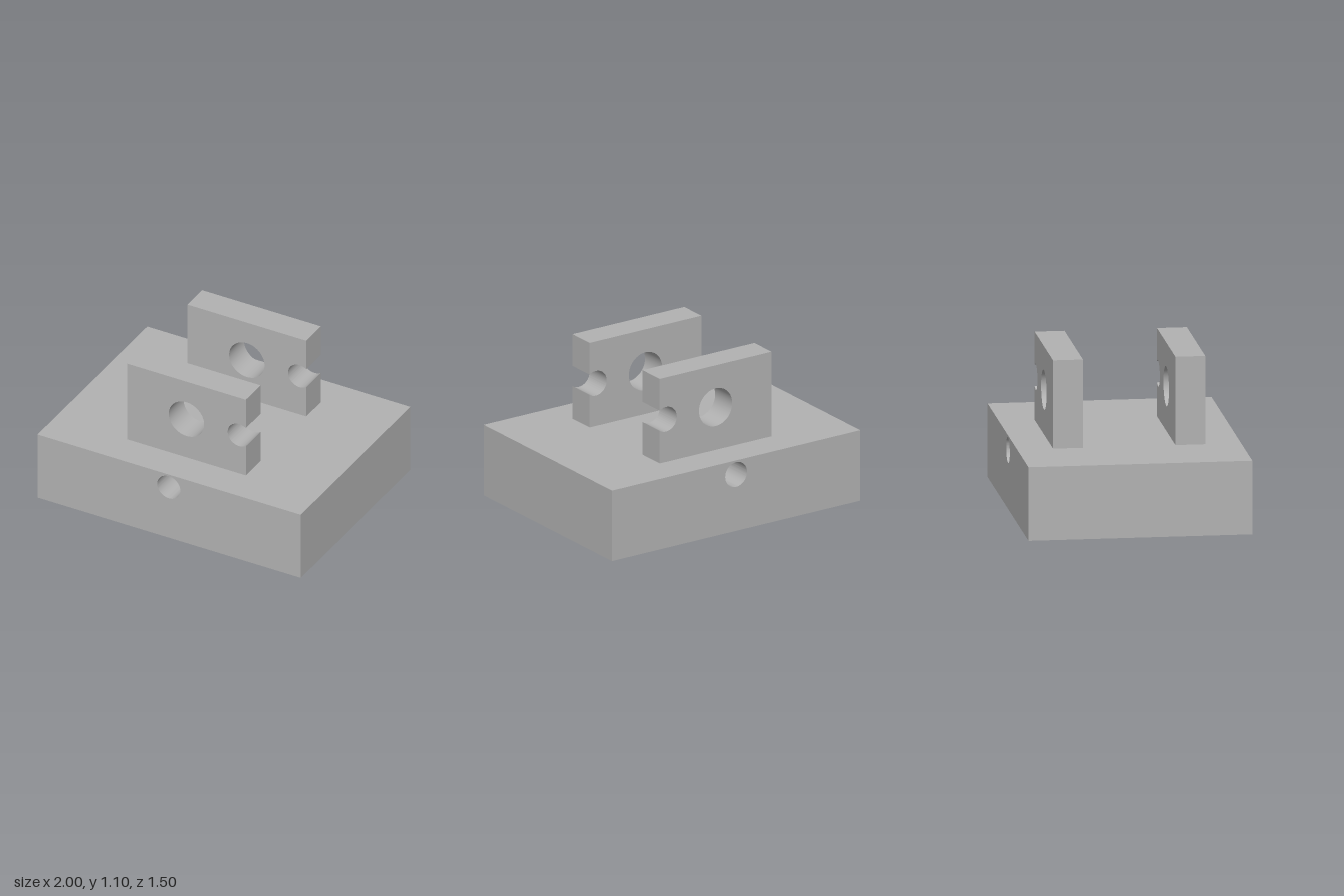
import * as THREE from 'three';
import { toCreasedNormals } from 'three/addons/utils/BufferGeometryUtils.js';

const HOLE_R = 0.0875;

function circleHole(x, y, r) {
  return new THREE.Path().absarc(x, y, r, 0, Math.PI * 2, true);
}

// Extrude a front-facing profile, centred on z = 0
function slab(shape, depth) {
  const geometry = new THREE.ExtrudeGeometry(shape, { depth, bevelEnabled: false, curveSegments: 40 });
  geometry.translate(0, 0, -depth / 2);
  return toCreasedNormals(geometry, 0.6);
}

export function createModel() {
  const group = new THREE.Group();
  group.name = 'bracket';
  const grey = new THREE.MeshStandardMaterial({ color: 0xb2b2b2 });
  grey.name = 'grey';

  // Base block with a bore running front to back
  const baseShape = new THREE.Shape();
  baseShape.moveTo(-1, 0);
  baseShape.lineTo(1, 0);
  baseShape.lineTo(1, 0.5);
  baseShape.lineTo(-1, 0.5);
  baseShape.closePath();
  baseShape.holes.push(circleHole(0, 0.4, HOLE_R));
  const base = new THREE.Mesh(slab(baseShape, 1.5), grey);
  base.name = 'base';
  group.add(base);

  // Upright lug with a central hole and a round notch open to the +x edge
  const notchX = 0.4, holeY = 0.803, edge = 0.45;
  const a = Math.acos((edge - notchX) / HOLE_R);
  const lugShape = new THREE.Shape();
  lugShape.moveTo(-edge, 0.5);
  lugShape.lineTo(edge, 0.5);
  lugShape.absarc(notchX, holeY, HOLE_R, -a, a, true);
  lugShape.lineTo(edge, 1.1);
  lugShape.lineTo(-edge, 1.1);
  lugShape.closePath();
  lugShape.holes.push(circleHole(0, holeY, 0.134));
  const lugGeometry = slab(lugShape, 0.2);

  for (const [name, z] of [['frontLug', 0.41], ['backLug', -0.41]]) {
    const lug = new THREE.Mesh(lugGeometry, grey);
    lug.name = name;
    lug.position.z = z;
    group.add(lug);
  }
  return group;
}
